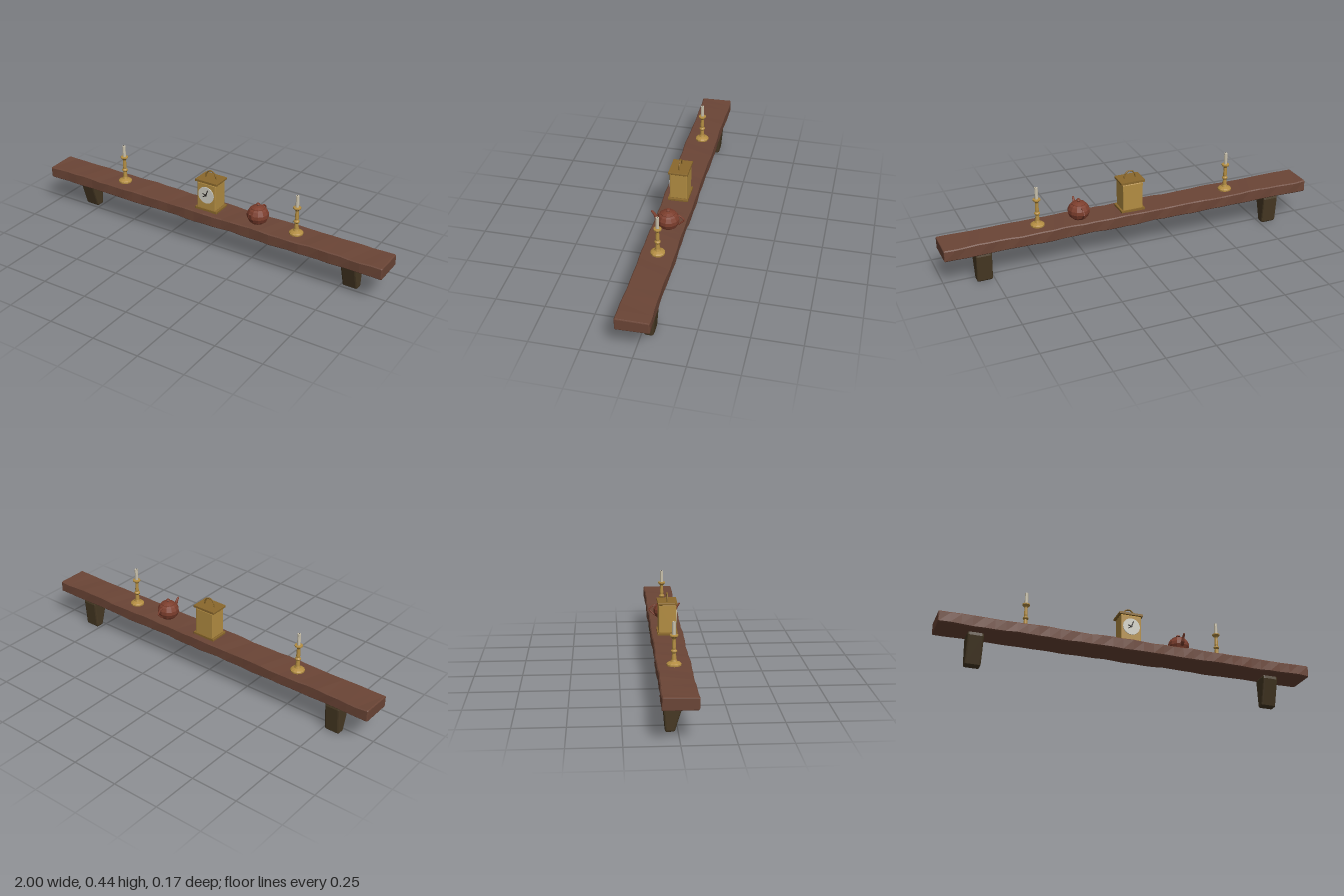
import * as THREE from 'three';

const mat = (name, color, flat = false) => {
  const m = new THREE.MeshStandardMaterial({ color, flatShading: flat });
  m.name = name;
  return m;
};

export function createModel() {
  const wood = mat('brown wood', 0x6b4536, true);
  const darkWood = mat('dark wood', 0x463823, true);
  const brass = mat('brass', 0xb38d42, true);
  const trim = mat('dark brass', 0x8a682c, true);
  const clay = mat('red clay', 0x7c3e2d, true);
  const wax = mat('candle wax', 0xc9c1ac, true);
  const dialWhite = mat('dial white', 0xd2d0c6);
  const black = mat('black', 0x1f1b18);

  const model = new THREE.Group();
  model.name = 'mantelShelf';
  const add = (parent, name, geometry, material, x = 0, y = 0, z = 0) => {
    const mesh = new THREE.Mesh(geometry, material);
    mesh.name = name;
    mesh.position.set(x, y, z);
    parent.add(mesh);
    return mesh;
  };
  const group = (name, x, y, z) => {
    const g = new THREE.Group();
    g.name = name;
    g.position.set(x, y, z);
    model.add(g);
    return g;
  };
  const lathe = (pts, sides) =>
    new THREE.LatheGeometry(pts.map(([r, y]) => new THREE.Vector2(r, y)), sides);

  // Bevelled profile in the z-y plane, extruded along x and centred on x = 0
  const slab = (pts, width, bevel, steps = 1) => {
    const shape = new THREE.Shape(pts.map(([z, y]) => new THREE.Vector2(-z, y)));
    const g = new THREE.ExtrudeGeometry(shape, {
      depth: width - 2 * bevel, steps, bevelEnabled: true, bevelThickness: bevel,
      bevelSize: bevel, bevelOffset: -bevel, bevelSegments: 2,
    });
    g.translate(0, 0, -(width / 2 - bevel));
    g.rotateY(Math.PI / 2);
    return g;
  };

  // Hewn beam: long edges wander a little along x
  const beam = slab([[0.076, 0.16], [-0.076, 0.16], [-0.081, 0.165], [-0.081, 0.217],
    [-0.076, 0.222], [0.076, 0.222], [0.081, 0.217], [0.081, 0.165]], 2, 0.005, 36);
  const p = beam.attributes.position;
  for (let i = 0; i < p.count; i++) {
    const x = p.getX(i), y = p.getY(i), z = p.getZ(i);
    const top = y > 0.19 ? 1 : -1, front = z > 0 ? 1 : -1;
    p.setY(i, y + 0.0015 * Math.sin(x * 17 + top * 2 + front) + 0.001 * Math.sin(x * 41 + front));
    p.setZ(i, z + 0.002 * Math.sin(x * 13 + front * 2) + 0.0015 * Math.sin(x * 37 + top));
  }
  beam.computeVertexNormals();
  add(model, 'beam', beam, wood);

  // Tapered corbels below both ends
  for (const side of [-1, 1]) {
    add(model, side > 0 ? 'leftCorbel' : 'rightCorbel',
      slab([[0.022, 0.163], [0.028, 0.142], [-0.014, 0.005], [-0.02, 0], [-0.053, 0],
        [-0.059, 0.007], [-0.07, 0.145], [-0.063, 0.163]].reverse(), 0.082, 0.009),
      darkWood, side * 0.8);
  }

  // Candlesticks
  for (const x of [-0.55, 0.5]) {
    const stick = group(x > 0 ? 'leftCandlestick' : 'rightCandlestick', x, 0.22, 0);
    add(stick, 'holder', lathe([[0, 0], [0.036, 0], [0.036, 0.009], [0.03, 0.014], [0.016, 0.02],
      [0.012, 0.03], [0.009, 0.06], [0.015, 0.067], [0.015, 0.072], [0.009, 0.078], [0.01, 0.088],
      [0.008, 0.128], [0.011, 0.133], [0.02, 0.142], [0.02, 0.148], [0.01, 0.15], [0, 0.15]], 12), brass);
    add(stick, 'candle', new THREE.CylinderGeometry(0.0085, 0.009, 0.062, 10), wax, 0, 0.18);
    add(stick, 'wick', new THREE.CylinderGeometry(0.0015, 0.0015, 0.005, 5), black, 0, 0.2125);
  }

  // Carriage clock
  const clock = group('clock', 0, 0.22, 0);
  add(clock, 'clockBase', slab([[-0.052, 0], [0.052, 0], [0.052, 0.014], [-0.052, 0.014]].reverse(),
    0.13, 0.002), trim);
  add(clock, 'clockBody', slab([[-0.045, 0.012], [0.045, 0.012], [0.045, 0.152], [0.04, 0.159],
    [-0.04, 0.159], [-0.045, 0.152]].reverse(), 0.11, 0.004), brass);
  add(clock, 'clockTop', slab([[-0.05, 0.159], [0.05, 0.159], [0.05, 0.171], [-0.05, 0.171]].reverse(),
    0.13, 0.002), trim);
  const arch = new THREE.CatmullRomCurve3([[-0.031, 0.169], [-0.027, 0.19], [-0.012, 0.208],
    [0.012, 0.208], [0.027, 0.19], [0.031, 0.169]].map(([x, y]) => new THREE.Vector3(x, y, 0)));
  add(clock, 'clockHandle', new THREE.TubeGeometry(arch, 12, 0.004, 6), trim);
  const disc = (r, h) => new THREE.CylinderGeometry(r, r, h, 24).rotateX(Math.PI / 2);
  add(clock, 'dial', disc(0.046, 0.005), dialWhite, 0, 0.092, 0.0462);
  add(clock, 'handHub', disc(0.005, 0.002), black, 0, 0.092, 0.0494);
  // Hands: angle measured clockwise from twelve
  for (const [name, length, angle] of [['hourHand', 0.022, -2.2], ['minuteHand', 0.032, 0.35],
    ['shortHand', 0.02, -1.25]]) {
    const hand = new THREE.BoxGeometry(0.005, length, 0.0015).translate(0, length / 2, 0);
    add(clock, name, hand, black, 0, 0.092, 0.0494).rotation.z = -angle;
  }

  // Teapot with the spout to the front
  const pot = group('teapot', 0.28, 0.22, 0);
  add(pot, 'potBody', lathe([[0, 0], [0.033, 0], [0.048, 0.014], [0.057, 0.036], [0.056, 0.054],
    [0.046, 0.073], [0.036, 0.08], [0.036, 0.083], [0.02, 0.09], [0.007, 0.093], [0.012, 0.099],
    [0.009, 0.105], [0, 0.107]], 12), clay);
  const line = (pts) => new THREE.CatmullRomCurve3(
    pts.map(([z, y]) => new THREE.Vector3(0, y, z)), false, 'catmullrom', 0.3);
  // Spout narrows toward its open tip
  const path = line([[0.042, 0.03], [0.06, 0.044], [0.069, 0.064], [0.083, 0.081]]);
  const spout = new THREE.TubeGeometry(path, 8, 0.012, 8);
  const s = spout.attributes.position;
  for (let i = 0; i < s.count; i++) {
    const t = Math.floor(i / 9) / 8, c = path.getPointAt(t);
    const v = new THREE.Vector3().fromBufferAttribute(s, i).sub(c).multiplyScalar(1 - 0.58 * t).add(c);
    s.setXYZ(i, v.x, v.y, v.z);
  }
  spout.computeVertexNormals();
  add(pot, 'spout', spout, clay);
  add(pot, 'spoutMouth', new THREE.SphereGeometry(0.005, 8, 6), clay, 0, 0.0795, 0.082);
  // Angular handle at the back
  add(pot, 'potHandle', new THREE.TubeGeometry(line([[-0.046, 0.07], [-0.058, 0.072],
    [-0.081, 0.051], [-0.066, 0.033], [-0.05, 0.018]]), 14, 0.004, 6), clay);

  return model;
}
